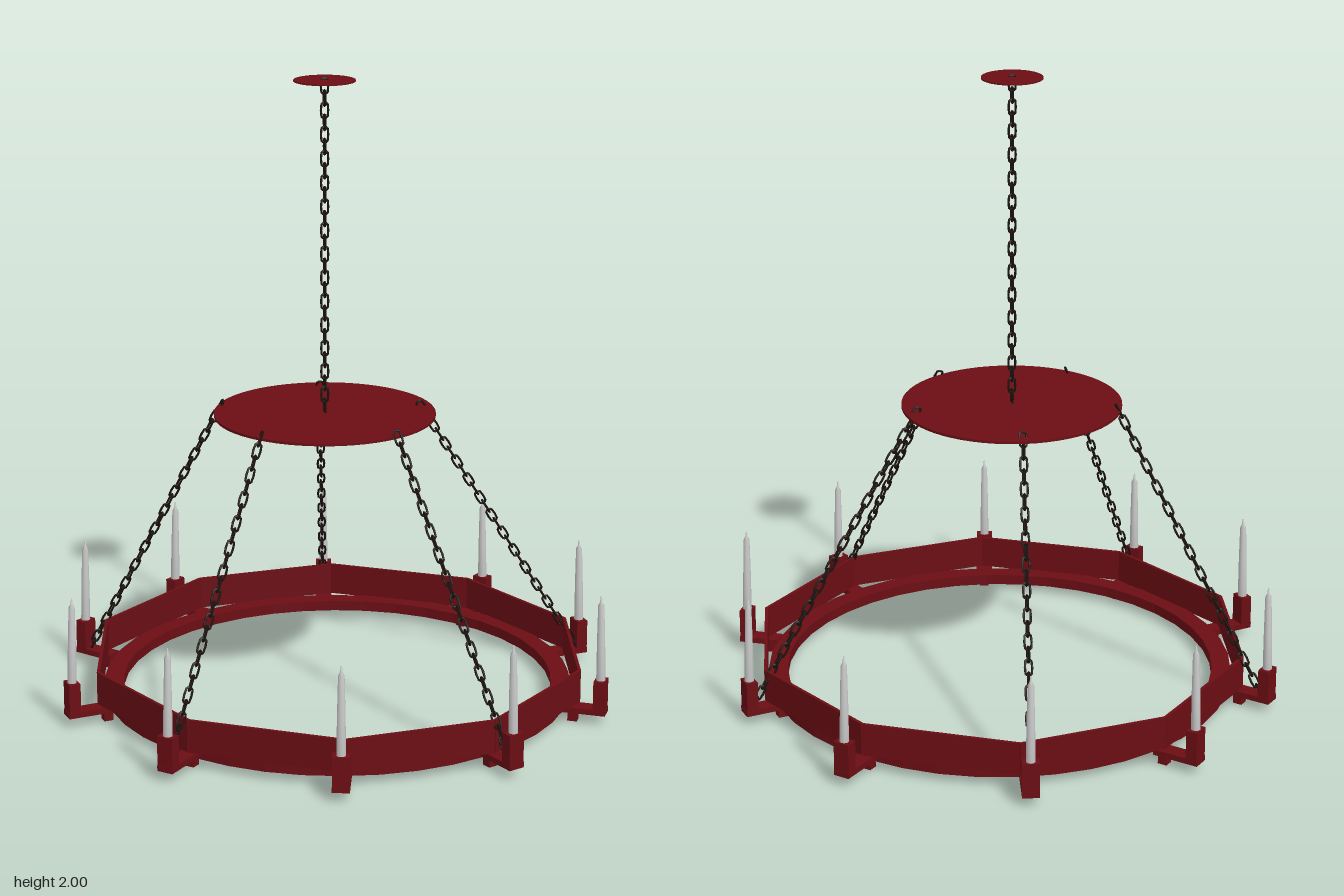
import * as THREE from 'three';

const red = new THREE.MeshStandardMaterial({ color: 0x6b0e14, flatShading: true, side: THREE.DoubleSide });
const iron = new THREE.MeshStandardMaterial({ color: 0x1c120e });
const wax = new THREE.MeshStandardMaterial({ color: 0xcccccc });

function mesh(geometry, material, name, x = 0, y = 0, z = 0) {
  const m = new THREE.Mesh(geometry, material);
  m.name = name;
  m.position.set(x, y, z);
  return m;
}

// Oval chain link: a torus whose halves are pulled apart along y
function linkGeometry(radius, wire, stretch) {
  const g = new THREE.TorusGeometry(radius, wire, 5, 12);
  const p = g.attributes.position;
  for (let i = 0; i < p.count; i++) {
    const y = p.getY(i);
    if (Math.abs(y) > 1e-4) p.setY(i, y + Math.sign(y) * stretch);
  }
  g.computeVertexNormals();
  return g;
}
const link = linkGeometry(0.011, 0.0038, 0.013);

// Row of links from a to b, each turned a quarter from the last
function chain(a, b, name) {
  const group = new THREE.Group();
  group.name = name;
  const from = new THREE.Vector3(...a), to = new THREE.Vector3(...b);
  const length = from.distanceTo(to);
  const count = Math.round(length / 0.038);
  for (let i = 0; i < count; i++) {
    const l = mesh(link, iron, 'chainLink', 0, (i + 0.5) * length / count, 0);
    l.rotation.y = Math.PI / 4 + (i % 2) * Math.PI / 2;
    group.add(l);
  }
  group.position.copy(from);
  group.quaternion.setFromUnitVectors(new THREE.Vector3(0, 1, 0), to.sub(from).normalize());
  return group;
}

// Candle tapering to a short wick point
const candleGeometry = new THREE.LatheGeometry([
  [0, 0], [0.015, 0], [0.013, 0.13], [0.010, 0.25], [0.004, 0.262], [0.002, 0.28], [0, 0.28],
].map(([r, y]) => new THREE.Vector2(r, y)), 10);

// Arm reaching outward, with an upright holder, a candle and a foot peg
function candleArm(inner, tip) {
  const group = new THREE.Group();
  group.name = 'candleArm';
  const dx = tip[0] - inner[0], dz = tip[1] - inner[1];
  const reach = Math.hypot(dx, dz);
  group.position.set(inner[0], 0, inner[1]);
  group.rotation.y = Math.atan2(dx, dz);
  group.add(mesh(new THREE.BoxGeometry(0.053, 0.018, reach + 0.02), red, 'arm', 0, 0.053, reach / 2 + 0.01));
  group.add(mesh(new THREE.BoxGeometry(0.053, 0.108, 0.037), red, 'candleHolder', 0, 0.101, reach));
  group.add(mesh(new THREE.BoxGeometry(0.03, 0.034, 0.03), red, 'footPeg', 0, 0.03, 0.025));
  const candle = mesh(candleGeometry, wax, 'candle', 0, 0.15, reach);
  candle.rotation.x = -0.02;
  group.add(candle);
  return group;
}

export function createModel() {
  const model = new THREE.Group();
  model.name = 'chandelier';
  const cx = -0.04, cz = -0.02;

  // Ceiling plate, hanging disc and the chain between them
  model.add(mesh(new THREE.CylinderGeometry(0.095, 0.095, 0.004, 40), red, 'ceilingPlate', cx, 1.998, cz));
  model.add(mesh(new THREE.CylinderGeometry(0.347, 0.347, 0.008, 64), red, 'hangingDisc', cx, 0.95, cz));
  model.add(chain([cx, 0.955, cz], [cx, 2, cz], 'mainChain'));

  // Flat lower ring
  const section = [[0.685, 0.038], [0.745, 0.038], [0.745, 0.072], [0.685, 0.072], [0.685, 0.038]];
  model.add(mesh(new THREE.LatheGeometry(section.map(([r, y]) => new THREE.Vector2(r, y)), 40), red, 'lowerRing'));

  // Ten thin upright panels around the ring
  const corners = [
    [0.775, 0], [0.63, 0.47], [0.25, 0.75], [-0.25, 0.75], [-0.63, 0.47],
    [-0.775, 0], [-0.63, -0.47], [-0.25, -0.75], [0.25, -0.75], [0.63, -0.47],
  ];
  corners.forEach((a, i) => {
    const b = corners[(i + 1) % corners.length];
    const dx = b[0] - a[0], dz = b[1] - a[1];
    const panel = mesh(new THREE.BoxGeometry(Math.hypot(dx, dz), 0.105, 0.01), red, 'sidePanel',
      (a[0] + b[0]) / 2, 0.12, (a[1] + b[1]) / 2);
    panel.rotation.y = -Math.atan2(dz, dx);
    model.add(panel);
  });

  // Candle arms: inner end, then candle position
  const arms = [
    [[0.72, 0], [0.87, 0]], [[0.58, 0.42], [0.69, 0.49]], [[0.22, 0.72], [0.255, 0.825]],
    [[-0.22, 0.70], [-0.265, 0.825]], [[-0.58, 0.43], [-0.70, 0.505]], [[-0.72, -0.015], [-0.875, 0]],
    [[-0.59, -0.44], [-0.71, -0.51]], [[-0.25, -0.72], [-0.25, -0.84]], [[0.24, -0.72], [0.24, -0.85]],
    [[0.58, -0.465], [0.685, -0.54]],
  ];
  for (const [inner, tip] of arms) model.add(candleArm(inner, tip));

  // Five slanted chains from the disc down to every second arm
  const hangers = [
    [-0.37, -0.02, -0.855, -0.015], [-0.16, -0.33, -0.25, -0.825], [0.2, -0.21, 0.68, -0.54],
    [0.19, 0.18, 0.685, 0.49], [-0.13, 0.31, -0.26, 0.815],
  ];
  for (const [x1, z1, x2, z2] of hangers) {
    model.add(chain([x2, 0.055, z2], [x1, 0.965, z1], 'slantedChain'));
  }
  return model;
}
